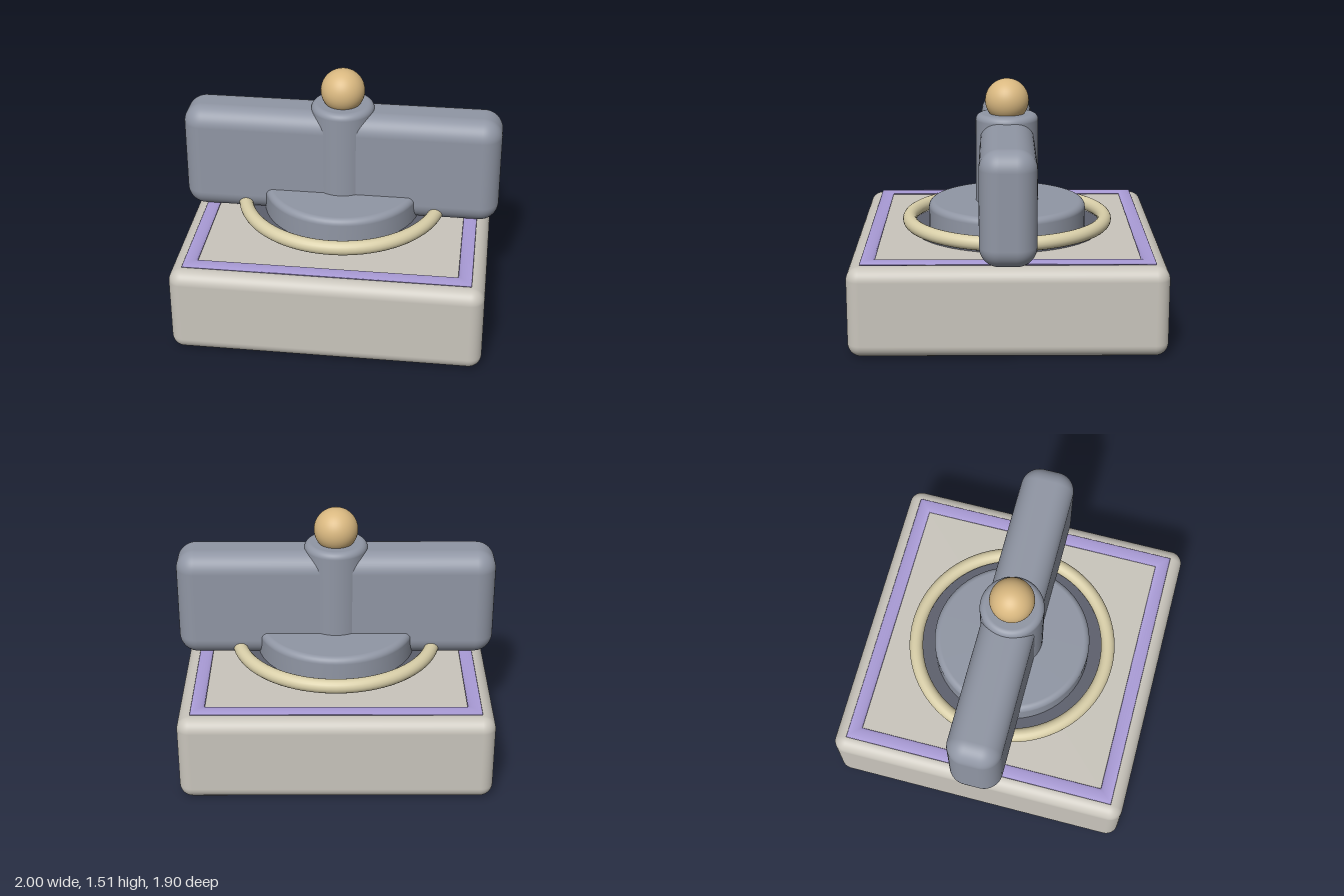
import * as THREE from 'three';
import { RoundedBoxGeometry } from 'three/addons/geometries/RoundedBoxGeometry.js';

const material = (name, color) => {
  const m = new THREE.MeshStandardMaterial({ color });
  m.name = name;
  return m;
};

// Solid of revolution with a rounded top edge
function roundedDisc(radius, bottom, top, bevel) {
  const points = [new THREE.Vector2(radius, bottom)];
  for (let i = 0; i <= 8; i++) {
    const a = (i / 8) * Math.PI / 2;
    points.push(new THREE.Vector2(radius - bevel + bevel * Math.cos(a), top - bevel + bevel * Math.sin(a)));
  }
  points.push(new THREE.Vector2(0, top));
  return new THREE.LatheGeometry(points, 64);
}

export function createModel() {
  const model = new THREE.Group();
  const stone = material('warm stone', 0xc9c5bc);
  const steel = material('blue grey', 0x9096a4);
  const slate = material('dark slate', 0x5c5f6c);
  const cream = material('cream', 0xd8cea8);
  const violet = material('violet', 0xa99bd6);
  const amber = material('amber', 0xd9b880);

  const add = (name, geometry, mat, y = 0) => {
    const mesh = new THREE.Mesh(geometry, mat);
    mesh.name = name;
    mesh.position.y = y;
    model.add(mesh);
    return mesh;
  };

  // Base block
  add('base', new RoundedBoxGeometry(1.9, 0.55, 1.9, 6, 0.08), stone, 0.275);

  // Flattened square trim: a four-sided ring with mitred corners
  const trim = new THREE.TorusGeometry(0.8275 * Math.SQRT2, 0.0425 * Math.SQRT2, 16, 4);
  trim.rotateZ(Math.PI / 4).rotateX(-Math.PI / 2).scale(1, 0.23, 1);
  add('trimFrame', trim, violet, 0.56);

  // Dial: recessed floor, ring and raised disc
  add('dialFloor', new THREE.CylinderGeometry(0.61, 0.61, 0.02, 64), slate, 0.555);
  add('dialRing', new THREE.TorusGeometry(0.624, 0.044, 20, 80).rotateX(Math.PI / 2), cream, 0.61);
  add('dialDisc', roundedDisc(0.5, 0.55, 0.727, 0.04), steel);

  // Handle bar, centre post and ball
  add('handleBar', new RoundedBoxGeometry(2, 0.7, 0.34, 8, 0.12), steel, 0.903);
  add('post', roundedDisc(0.198, 0.6, 1.29, 0.04), steel);
  add('ball', new THREE.SphereGeometry(0.138, 40, 28), amber, 1.372);

  return model;
}
